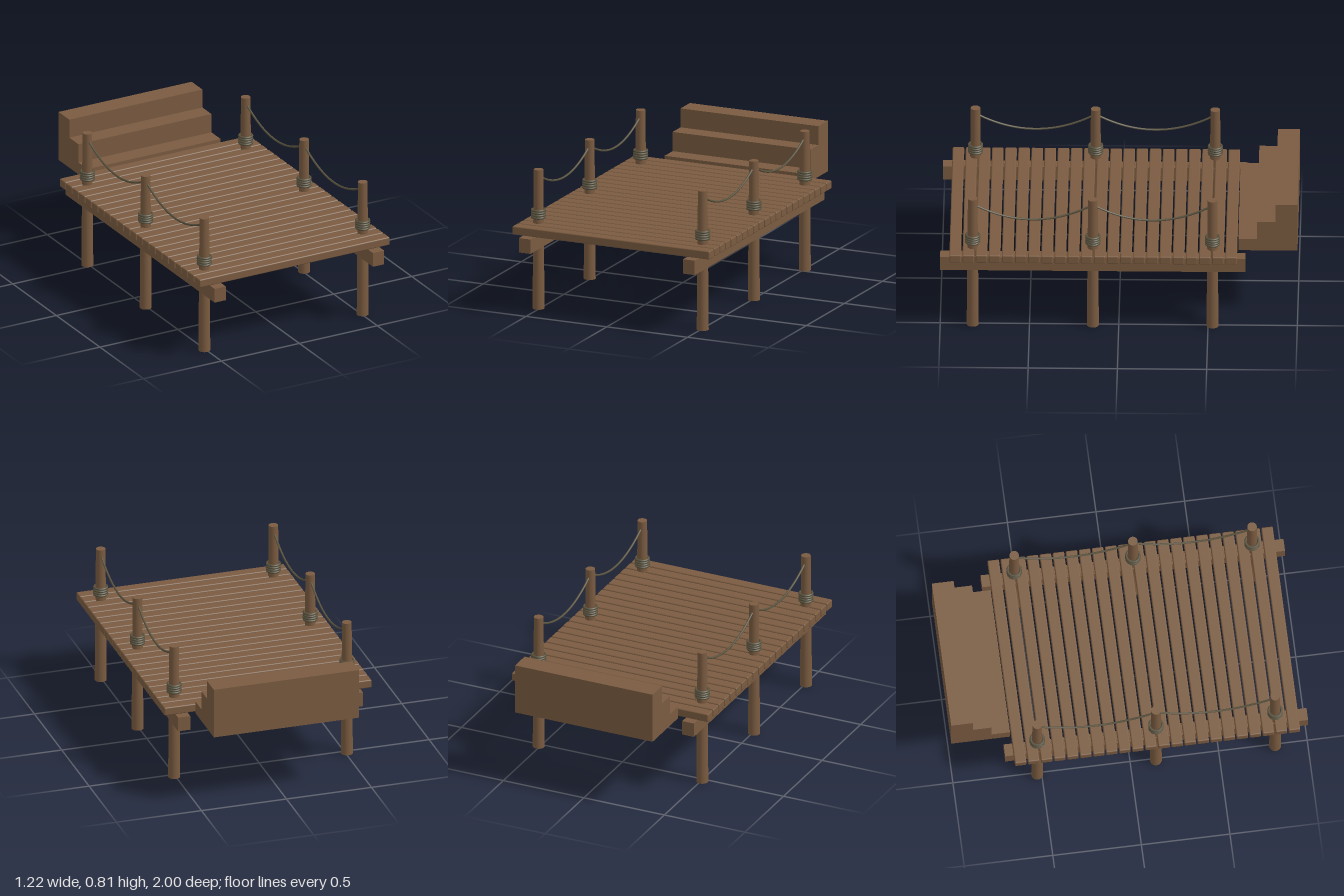
import * as THREE from 'three';
import { RoundedBoxGeometry } from 'three/addons/geometries/RoundedBoxGeometry.js';

const POST_X = 0.508;
const POST_Z = [0.818, 0.145, -0.525];

export function createModel() {
  const model = new THREE.Group();
  model.name = 'dock';
  const wood = new THREE.MeshStandardMaterial({ color: 0x7a5b40 });
  const rope = new THREE.MeshStandardMaterial({ color: 0x59533f });

  function add(name, geometry, material, x = 0, y = 0, z = 0) {
    const mesh = new THREE.Mesh(geometry, material);
    mesh.name = name;
    mesh.position.set(x, y, z);
    model.add(mesh);
    return mesh;
  }

  // Deck planks with softened edges
  const plankCount = 22;
  const plankGeo = new RoundedBoxGeometry(1.22, 0.049, 0.065, 2, 0.007);
  for (let i = 0; i < plankCount; i++) {
    add('plank', plankGeo, wood, 0, 0.4745, 0.915 - i * 0.0736);
  }

  const beamGeo = new THREE.BoxGeometry(0.072, 0.084, 1.71);
  const postGeo = new THREE.CylinderGeometry(0.027, 0.034, 0.81, 16);
  const coilGeo = new THREE.TorusGeometry(0.036, 0.007, 8, 24).rotateX(Math.PI / 2);

  for (const side of [-1, 1]) {
    const x = side * POST_X;

    // Long support beam under the planks
    add('beam', beamGeo, wood, x, 0.409, 0.145);

    // Tapered posts, each wrapped with four rope coils
    for (const z of POST_Z) {
      add('post', postGeo, wood, x, 0.405, z);
      for (let i = 0; i < 4; i++) add('ropeCoil', coilGeo, rope, x, 0.532 + i * 0.0138, z);
    }

    // Sagging rope between neighbouring posts
    for (let i = 0; i < POST_Z.length - 1; i++) {
      const points = [];
      for (let k = 0; k <= 10; k++) {
        const t = k / 10;
        const y = 0.677 + 0.097 * (2 * t - 1) ** 2;
        points.push(new THREE.Vector3(x, y, THREE.MathUtils.lerp(POST_Z[i], POST_Z[i + 1], t)));
      }
      const curve = new THREE.CatmullRomCurve3(points);
      add('hangingRope', new THREE.TubeGeometry(curve, 32, 0.006, 8), rope);
    }
  }

  // Steps at the back: stair profile drawn in (depth, height), extruded across the width
  const profile = [
    [0.668, 0.442], [1, 0.442], [1, 0.736], [0.877, 0.736],
    [0.877, 0.626], [0.773, 0.626], [0.773, 0.514], [0.668, 0.514],
  ].map(([d, h]) => new THREE.Vector2(d, h));
  const stairs = new THREE.ExtrudeGeometry(new THREE.Shape(profile), { depth: 0.854, bevelEnabled: false });
  stairs.translate(0, 0, -0.427).rotateY(Math.PI / 2);
  add('steps', stairs, wood);

  return model;
}
